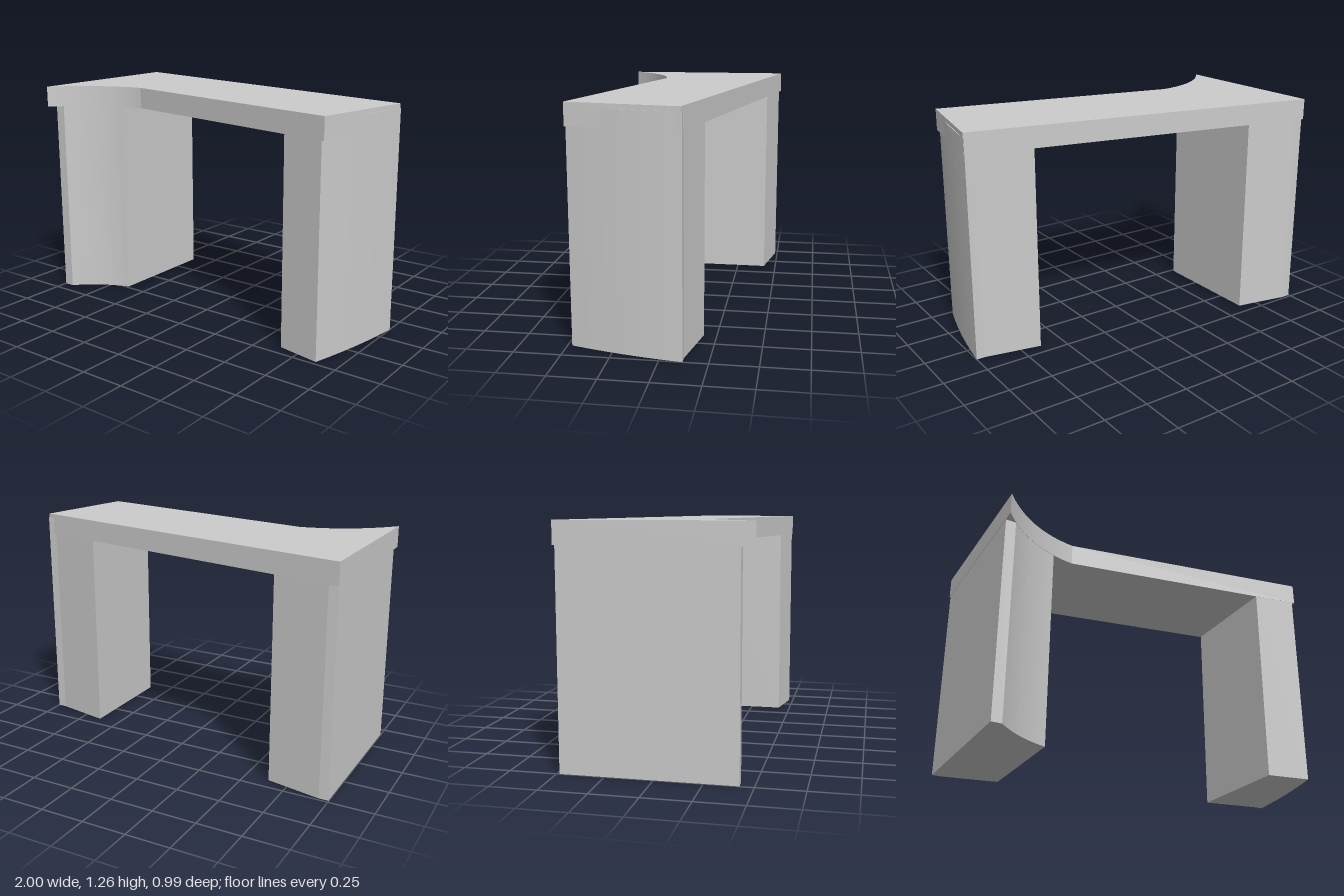
import * as THREE from 'three';

const material = new THREE.MeshStandardMaterial({ color: 0xcccccc });

// Upright prism from a plan outline of [x, z] points
function prism(name, plan, bottom, top) {
  const shape = new THREE.Shape(plan.map(([x, z]) => new THREE.Vector2(x, -z)));
  const geometry = new THREE.ExtrudeGeometry(shape, { depth: top - bottom, bevelEnabled: false });
  geometry.rotateX(-Math.PI / 2).translate(0, bottom, 0);
  const mesh = new THREE.Mesh(geometry, material);
  mesh.name = name;
  return mesh;
}

// Concave sweep at the front of the desk, as plan points between two parameters
const sweep = new THREE.QuadraticBezierCurve(
  new THREE.Vector2(-0.51, 0.212),
  new THREE.Vector2(-0.8, 0.245),
  new THREE.Vector2(-1, 0.497)
);
function sweepPoints(from, to, steps, inset = 0) {
  return Array.from({ length: steps + 1 }, (_, i) => {
    const p = sweep.getPoint(from + ((to - from) * i) / steps);
    return [p.x, p.y - inset];
  });
}

export function createModel() {
  const group = new THREE.Group();
  group.name = 'desk';
  const topY = 1.265, undersideY = 1.145, legTopY = 1.24;

  // Slanted worktop with the curved front corner
  group.add(prism('worktop', [
    [-1, -0.497], [1, -0.113], [0.89, 0.48], ...sweepPoints(0, 1, 16),
  ], undersideY, topY));

  // Wide support under the curved end
  group.add(prism('curvedLeg', [
    [-0.998, -0.485], [-0.945, -0.485], [-0.635, -0.425],
    ...sweepPoints(0.223, 0.855, 10, 0.002), [-0.998, 0.428],
  ], 0, legTopY));

  // Support under the straight end, its outer face slightly bowed
  const bow = new THREE.QuadraticBezierCurve(
    new THREE.Vector2(1, -0.12),
    new THREE.Vector2(0.962, 0.185),
    new THREE.Vector2(0.875, 0.476)
  );
  group.add(prism('straightLeg', [
    [0.635, -0.181], [0.95, -0.12],
    ...bow.getPoints(6).map((p) => [p.x, p.y]), [0.635, 0.43],
  ], 0, legTopY));

  return group;
}
